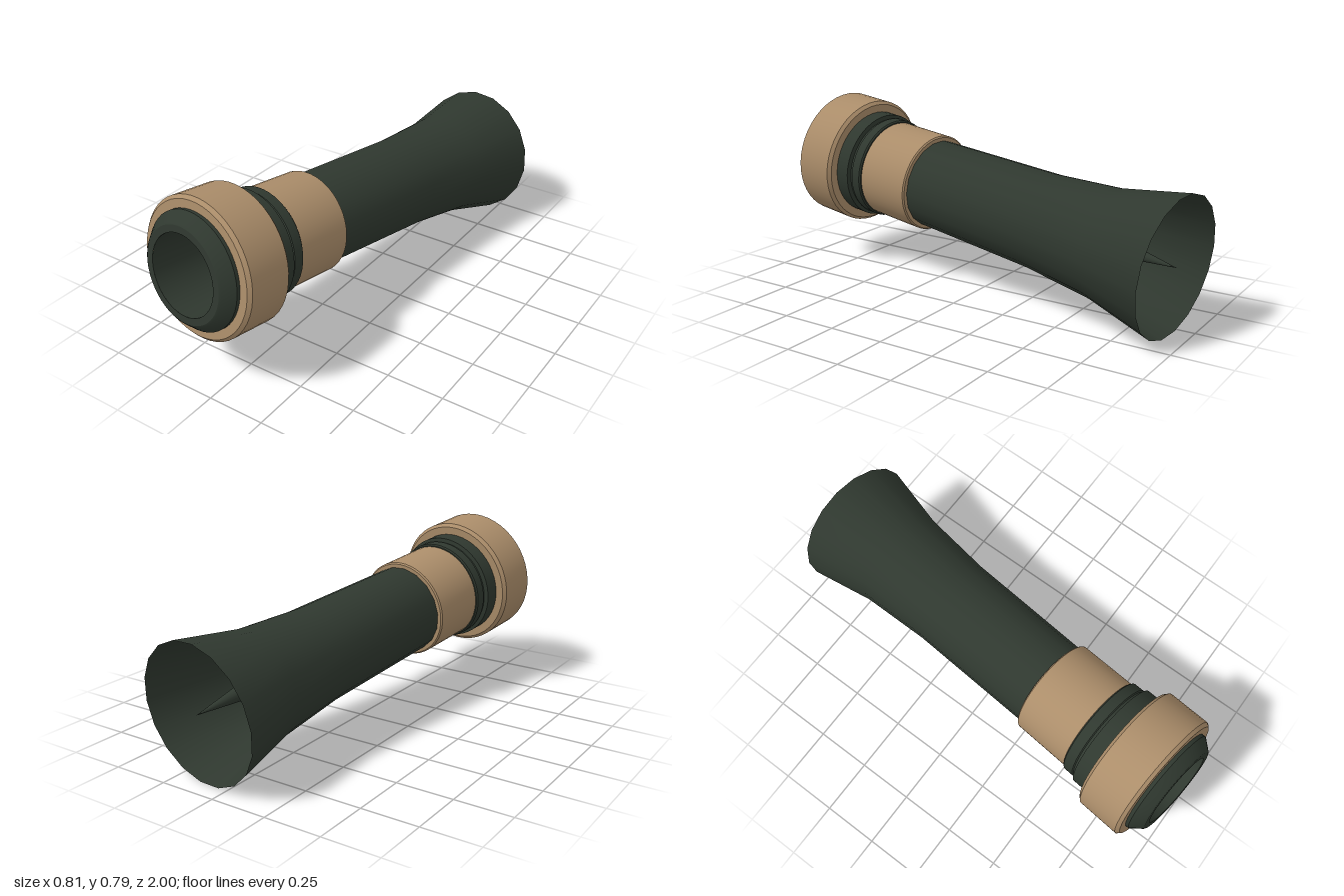
import * as THREE from 'three';
import { toCreasedNormals } from 'three/addons/utils/BufferGeometryUtils.js';

export function createModel() {
  const dark = new THREE.MeshStandardMaterial({ color: 0x2f382f, side: THREE.DoubleSide });
  dark.name = 'darkGreen';
  const tan = new THREE.MeshStandardMaterial({ color: 0xab8d6a });
  tan.name = 'tan';

  const group = new THREE.Group();
  group.name = 'flaredTube';

  // Everything is turned around one axis that starts at the flared rear rim
  const axis = new THREE.Group();
  axis.name = 'tiltedAxis';
  axis.position.set(0.105, 0.298, -0.951);
  axis.quaternion.setFromUnitVectors(
    new THREE.Vector3(0, 1, 0),
    new THREE.Vector3(-0.117, 0.111, 1).normalize()
  );
  group.add(axis);

  // Profile points are [radius, distance along the axis]
  function turned(name, material, profile, sides, crease = 0.45) {
    const points = profile.map(([r, d]) => new THREE.Vector2(r, d));
    const geometry = toCreasedNormals(new THREE.LatheGeometry(points, sides), crease);
    const mesh = new THREE.Mesh(geometry, material);
    mesh.name = name;
    axis.add(mesh);
  }

  // Chamfered collar between two distances
  function collar(name, start, end, inner, outer, bevel) {
    turned(name, tan, [
      [inner, start], [outer - bevel, start], [outer, start + bevel],
      [outer, end - bevel], [outer - bevel, end], [inner, end],
    ], 48);
  }

  // Barrel, open and flared at the rear
  turned('flaredBarrel', dark, [[0.3, 0], [0.235, 0.31], [0.209, 0.64], [0.2, 1.3]], 18, 0.6);

  // Rear collar, and the wide front collar
  collar('rearCollar', 1.257, 1.531, 0.195, 0.222, 0.006);
  collar('frontCollar', 1.665, 1.88, 0.24, 0.295, 0.014);

  // Stepped neck running through the front collar to the mouth
  turned('steppedNeck', dark, [
    [0.2, 1.527], [0.226, 1.527], [0.232, 1.533], [0.232, 1.578], [0.226, 1.582],
    [0.226, 1.592], [0.245, 1.596], [0.245, 1.895], [0.208, 1.938],
    [0.2, 1.943], [0.17, 1.943],
  ], 48);

  // Bore narrowing to a point at the middle of the rear opening
  turned('bore', dark, [
    [0.17, 1.943], [0.158, 1.4], [0.105, 0.8], [0.04, 0.28], [0, 0],
  ], 40, 0.6);

  return group;
}
